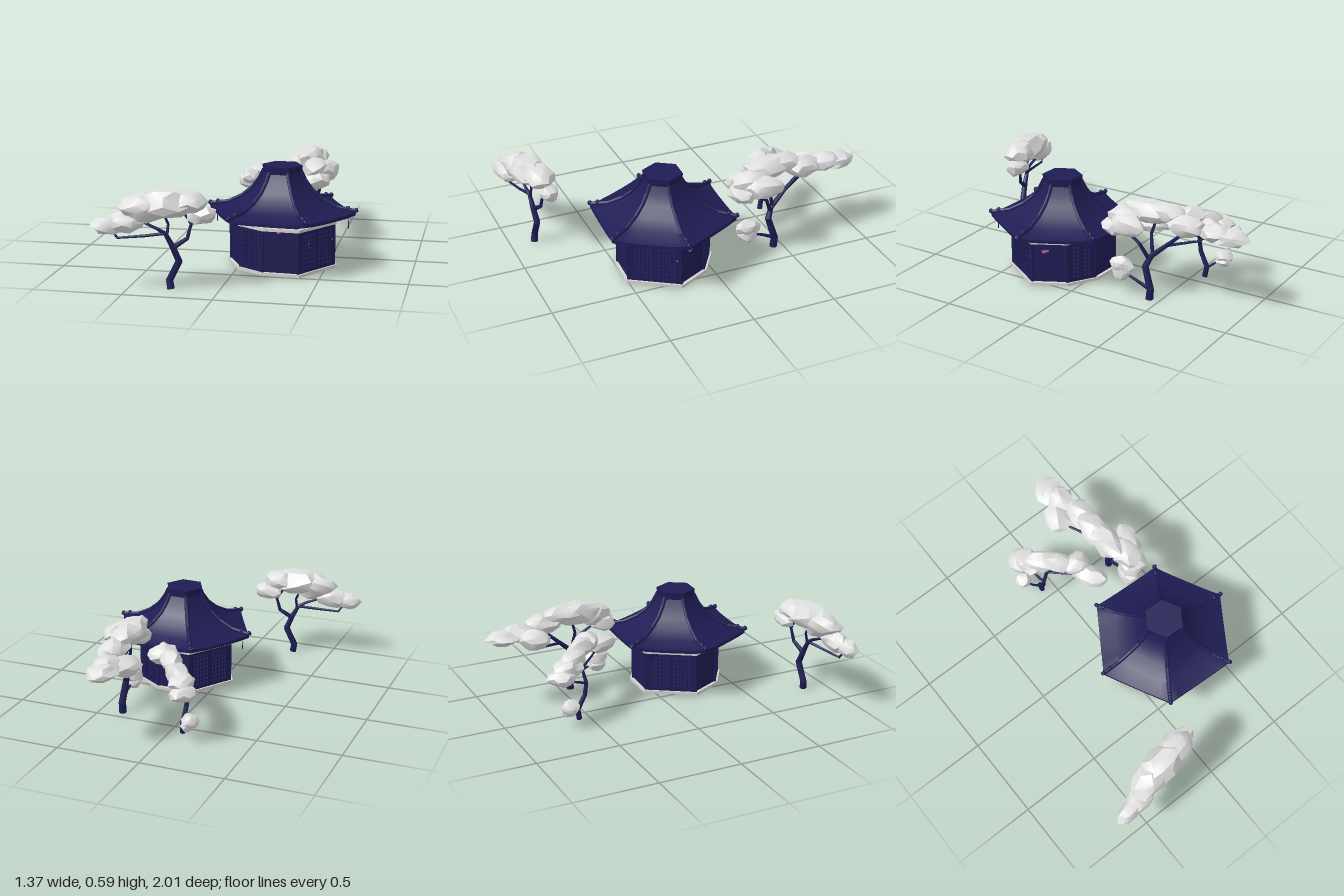
import * as THREE from 'three';
import { toCreasedNormals } from 'three/addons/utils/BufferGeometryUtils.js';

const mat = (name, color, side = THREE.FrontSide) => {
  const m = new THREE.MeshStandardMaterial({ color, side });
  m.name = name;
  return m;
};
const navy = mat('navy timber', 0x1e1c53);
const roofNavy = mat('navy roof', 0x1e1c53, THREE.DoubleSide);
const stone = mat('pale stone', 0xd6d2d0);
const leaf = mat('pale foliage', 0xdfdfdf);
const pink = mat('pink blossom', 0xb0609a, THREE.DoubleSide);

let seed = 7;
const rand = () => (seed = (seed * 16807) % 2147483647) / 2147483647;

function add(parent, name, geo, material, x = 0, y = 0, z = 0) {
  const m = new THREE.Mesh(geo, material);
  m.name = name;
  m.position.set(x, y, z);
  parent.add(m);
  return m;
}
const box = (p, name, w, h, d, x, y, z) => add(p, name, new THREE.BoxGeometry(w, h, d), navy, x, y, z);

// Plan of the body: a hexagon with two opposite corners cut off, as (x, z)
const corner = (k) => new THREE.Vector2(Math.cos(k * Math.PI / 3), Math.sin(k * Math.PI / 3));
const PLAN = [0, 3].flatMap((k) => [
  corner(k), corner(k + 1),
  corner(k + 1).lerp(corner(k + 2), 2 / 3), corner(k + 2).lerp(corner(k + 3), 1 / 3),
]);

function slab(p, name, r, y0, y1, m) {
  const shape = new THREE.Shape(PLAN.map((c) => new THREE.Vector2(c.x * r, -c.y * r)));
  const g = new THREE.ExtrudeGeometry(shape, { depth: y1 - y0, bevelEnabled: false });
  return add(p, name, g.rotateX(-Math.PI / 2), m, 0, y0, 0);
}

// Chain of tapered round bars through points [x, y, z, radius]
function limb(p, name, pts, sides = 7, thickness = 1) {
  for (let i = 0; i + 1 < pts.length; i++) {
    const a = new THREE.Vector3(...pts[i].slice(0, 3)), b = new THREE.Vector3(...pts[i + 1].slice(0, 3));
    const dir = b.clone().sub(a), len = dir.length();
    const bar = add(p, name, new THREE.CylinderGeometry(pts[i + 1][3] * thickness, pts[i][3] * thickness, len * 1.06, sides), navy);
    bar.position.copy(a).add(b).multiplyScalar(0.5);
    bar.quaternion.setFromUnitVectors(new THREE.Vector3(0, 1, 0), dir.normalize());
  }
}

// Faceted leaf clump: c = centre, s = radii, yaw turns it about y
function clump(p, c, s, yaw = 0) {
  const g = new THREE.IcosahedronGeometry(1, 1);
  const pos = g.attributes.position, seen = new Map(), v = new THREE.Vector3();
  for (let i = 0; i < pos.count; i++) {
    v.fromBufferAttribute(pos, i);
    const key = v.toArray().map((n) => Math.round(n * 100)).join();
    if (!seen.has(key)) seen.set(key, 0.84 + rand() * 0.32);
    v.multiplyScalar(seen.get(key));
    pos.setXYZ(i, v.x * s[0], v.y * s[1], v.z * s[2]);
  }
  add(p, 'foliage', toCreasedNormals(g, 0.55), leaf, ...c).rotation.y = yaw;
}

// Roof profile: [radius, height, lift at the corners]
const PROFILE = [[0.11, 0.55, 0], [0.135, 0.5, 0], [0.175, 0.445, 0], [0.235, 0.395, 0], [0.32, 0.348, 0.004],
  [0.43, 0.322, 0.012], [0.43, 0.305, 0.008], [0.28, 0.3, 0]];

function roofGeometry() {
  const verts = [], N = 6;
  const at = (k, row, u) => {
    const [r, y, lift] = PROFILE[row], c = corner(k).lerp(corner(k + 1), u);
    return [r * c.x, y + lift * Math.pow(Math.abs(2 * u - 1), 3), r * c.y];
  };
  for (let k = 0; k < 6; k++)
    for (let i = 0; i + 1 < PROFILE.length; i++)
      for (let j = 0; j < N; j++) {
        const a = at(k, i, j / N), b = at(k, i, (j + 1) / N), c = at(k, i + 1, j / N), d = at(k, i + 1, (j + 1) / N);
        verts.push(...a, ...b, ...c, ...b, ...d, ...c);
      }
  const g = new THREE.BufferGeometry();
  g.setAttribute('position', new THREE.Float32BufferAttribute(verts, 3));
  g.computeVertexNormals();
  return toCreasedNormals(g, 0.5);
}

// Lattice screen filling a wall of the given length
function lattice(p, length) {
  const lo = 0.035, hi = 0.24, w = length - 0.06, cols = Math.round(w / 0.022), rows = 8;
  for (let i = 0; i <= cols; i++)
    box(p, 'latticeBar', 0.009, hi - lo, 0.01, w * (i / cols - 0.5), (lo + hi) / 2, 0);
  for (let j = 0; j <= rows; j++) box(p, 'latticeBar', w, 0.009, 0.008, 0, lo + (hi - lo) * j / rows, 0);
  for (const y of [0.027, 0.248]) box(p, 'latticeRail', length, 0.02, 0.014, 0, y, 0);
  for (const s of [-1, 1]) box(p, 'latticeStile', 0.03, 0.24, 0.012, s * (length / 2 - 0.015), 0.138, 0);
  box(p, 'doorMullion', 0.018, 0.23, 0.014, 0, 0.138, 0);
}

function pavilion() {
  const g = new THREE.Group();
  g.name = 'pavilion';
  g.position.set(0.24, 0, 0.224);
  g.rotation.y = -THREE.MathUtils.degToRad(3);
  const R = 0.306;
  slab(g, 'plinth', 0.327, 0, 0.017, stone);
  slab(g, 'plinthUnderside', 0.285, -0.0005, 0.0005, navy);
  slab(g, 'floor', 0.3, 0.015, 0.02, navy);
  slab(g, 'ceiling', 0.302, 0.25, 0.257, navy);
  slab(g, 'paleBand', 0.319, 0.256, 0.273, stone);
  slab(g, 'upperBeam', 0.29, 0.272, 0.308, navy);
  add(g, 'roof', roofGeometry(), roofNavy);
  const cap = new THREE.CylinderGeometry(0.118, 0.114, 0.043, 6, 1, false, Math.PI / 2);
  add(g, 'roofCap', toCreasedNormals(cap, 0.4), navy, 0, 0.5665, 0);

  // Lattice and plain walls alternate around the plan; blossoms are [x, y, radius]
  const blossoms = { 0: [[0.13, 0.17, 0.008]], 1: [[-0.01, 0.25, 0.008]], 7: [[-0.03, 0.21, 0.017], [-0.012, 0.216, 0.012]] };
  PLAN.forEach((c, k) => {
    const a = c.clone().multiplyScalar(R), b = PLAN[(k + 1) % PLAN.length].clone().multiplyScalar(R);
    const length = a.distanceTo(b), wall = new THREE.Group();
    wall.name = 'wall';
    wall.position.set((a.x + b.x) / 2, 0, (a.y + b.y) / 2);
    wall.rotation.y = Math.atan2(b.y - a.y, a.x - b.x);
    g.add(wall);
    if (k % 2) box(wall, 'wallPanel', length, 0.24, 0.01, 0, 0.138, -0.004);
    else lattice(wall, length);
    for (const [x, y, s] of blossoms[k] ?? [])
      add(wall, 'blossom', new THREE.CircleGeometry(s, 7), pink, x, y, 0.0075).scale.y = 0.65;
    add(g, 'cornerPost', new THREE.CylinderGeometry(0.009, 0.009, 0.25, 8), navy, a.x, 0.14, a.y);
  });

  for (let k = 0; k < 6; k++) {
    const hip = new THREE.Group();
    hip.name = 'roofHip';
    hip.rotation.y = -k * Math.PI / 3;
    g.add(hip);
    // ridge with upturned tip and knobs
    const ridge = PROFILE.slice(0, 6).map(([r, y, l]) => [r, y + l + 0.004, 0, 0.012]);
    limb(hip, 'roofRidge', [...ridge, [0.438, 0.346, 0, 0.012]], 8);
    add(hip, 'ridgeKnob', new THREE.SphereGeometry(0.013, 8, 6), navy, 0.385, 0.354, 0);
    add(hip, 'ridgeTip', new THREE.SphereGeometry(0.012, 8, 6), navy, 0.432, 0.346, 0);
    // hanging chime
    if (k % 3 !== 2) limb(hip, 'chime', [[0.39, 0.285, 0, 0.002], [0.39, 0.236, 0, 0.003]], 5);
  }
  return g;
}

function tree(name, thickness, limbs, clumps) {
  const g = new THREE.Group();
  g.name = name;
  limbs.forEach((pts, i) => limb(g, i ? 'branch' : 'trunk', pts, 7, thickness));
  clumps.forEach((c) => clump(g, ...c));
  return g;
}

export function createModel() {
  const model = new THREE.Group();
  model.name = 'pavilionGarden';
  model.add(pavilion());

  model.add(tree('frontTree', 0.9, [
    [[-0.263, 0, 0.855, 0.024], [-0.272, 0.045, 0.85, 0.022], [-0.218, 0.155, 0.845, 0.021], [-0.255, 0.245, 0.855, 0.018], [-0.29, 0.31, 0.86, 0.013], [-0.33, 0.335, 0.87, 0.01], [-0.41, 0.37, 0.87, 0.008]],
    [[-0.29, 0.31, 0.86, 0.01], [-0.4, 0.298, 0.89, 0.009], [-0.54, 0.288, 0.92, 0.007], [-0.57, 0.33, 0.93, 0.006]],
    [[-0.25, 0.23, 0.85, 0.017], [-0.175, 0.28, 0.83, 0.012], [-0.155, 0.36, 0.82, 0.009], [-0.2, 0.43, 0.82, 0.008]],
    [[-0.155, 0.36, 0.82, 0.008], [-0.09, 0.39, 0.8, 0.006]],
    [[-0.28, 0.3, 0.86, 0.01], [-0.275, 0.36, 0.85, 0.008], [-0.3, 0.42, 0.85, 0.008]],
  ], [
    [[-0.58, 0.36, 0.94], [0.1, 0.05, 0.05], 0.1],
    [[-0.5, 0.375, 0.92], [0.1, 0.06, 0.07], 0.15],
    [[-0.39, 0.455, 0.885], [0.13, 0.08, 0.09], 0.25],
    [[-0.29, 0.475, 0.86], [0.16, 0.085, 0.09], 0.15],
    [[-0.17, 0.485, 0.83], [0.1, 0.06, 0.09], 0.2],
    [[-0.1, 0.41, 0.8], [0.09, 0.052, 0.06], 0.1],
  ]));

  model.add(tree('backLeftTree', 0.75, [
    [[-0.075, 0, -0.565, 0.022], [-0.08, 0.06, -0.575, 0.02], [-0.085, 0.15, -0.53, 0.018], [-0.085, 0.22, -0.52, 0.015], [-0.05, 0.3, -0.53, 0.012], [0.02, 0.38, -0.48, 0.008]],
    [[-0.08, 0.05, -0.57, 0.011], [-0.12, 0.07, -0.6, 0.009], [-0.15, 0.1, -0.64, 0.007]],
    [[-0.085, 0.22, -0.52, 0.011], [-0.105, 0.25, -0.6, 0.009], [-0.11, 0.3, -0.66, 0.007]],
    [[-0.05, 0.3, -0.53, 0.01], [0.05, 0.33, -0.42, 0.008], [0.13, 0.37, -0.32, 0.006]],
  ], [
    [[-0.155, 0.12, -0.65], [0.05, 0.04, 0.05]],
    [[-0.14, 0.09, -0.65], [0.035, 0.035, 0.045]],
    [[-0.13, 0.3, -0.69], [0.07, 0.05, 0.08]],
    [[-0.1, 0.34, -0.64], [0.08, 0.055, 0.09], 0.4],
    [[-0.05, 0.375, -0.58], [0.065, 0.055, 0.1], 0.6],
    [[0.015, 0.405, -0.51], [0.06, 0.055, 0.11], 0.6],
    [[0.1, 0.4, -0.43], [0.09, 0.055, 0.07]],
    [[0.13, 0.365, -0.33], [0.065, 0.055, 0.11], 0.5],
  ]));

  model.add(tree('backRightTree', 0.9, [
    [[0.36, 0, -0.44, 0.026], [0.36, 0.06, -0.445, 0.024], [0.35, 0.19, -0.405, 0.021], [0.33, 0.25, -0.43, 0.018], [0.31, 0.33, -0.52, 0.014], [0.3, 0.42, -0.62, 0.01], [0.27, 0.43, -0.85, 0.007]],
    [[0.36, 0.06, -0.44, 0.013], [0.37, 0.1, -0.36, 0.01], [0.37, 0.13, -0.28, 0.007]],
    [[0.34, 0.24, -0.42, 0.014], [0.37, 0.33, -0.38, 0.011], [0.36, 0.4, -0.27, 0.008]],
    [[0.33, 0.26, -0.44, 0.013], [0.31, 0.38, -0.42, 0.01], [0.3, 0.48, -0.45, 0.008]],
    [[0.31, 0.33, -0.52, 0.011], [0.22, 0.36, -0.68, 0.007], [0.2, 0.4, -0.73, 0.006]],
  ], [
    [[0.37, 0.175, -0.26], [0.055, 0.05, 0.075]],
    [[0.37, 0.13, -0.26], [0.045, 0.05, 0.06]],
    [[0.37, 0.41, -0.22], [0.09, 0.06, 0.08]],
    [[0.36, 0.47, -0.28], [0.075, 0.07, 0.1]],
    [[0.43, 0.455, -0.34], [0.06, 0.065, 0.12], -0.2],
    [[0.3, 0.51, -0.4], [0.08, 0.07, 0.15], 0.05],
    [[0.29, 0.52, -0.5], [0.08, 0.055, 0.12], 0.05],
    [[0.31, 0.475, -0.64], [0.08, 0.06, 0.12]],
    [[0.19, 0.43, -0.73], [0.08, 0.06, 0.09]],
    [[0.27, 0.455, -0.8], [0.075, 0.05, 0.1]],
    [[0.26, 0.445, -0.89], [0.085, 0.045, 0.11], 0.05],
  ]));
  return model;
}
